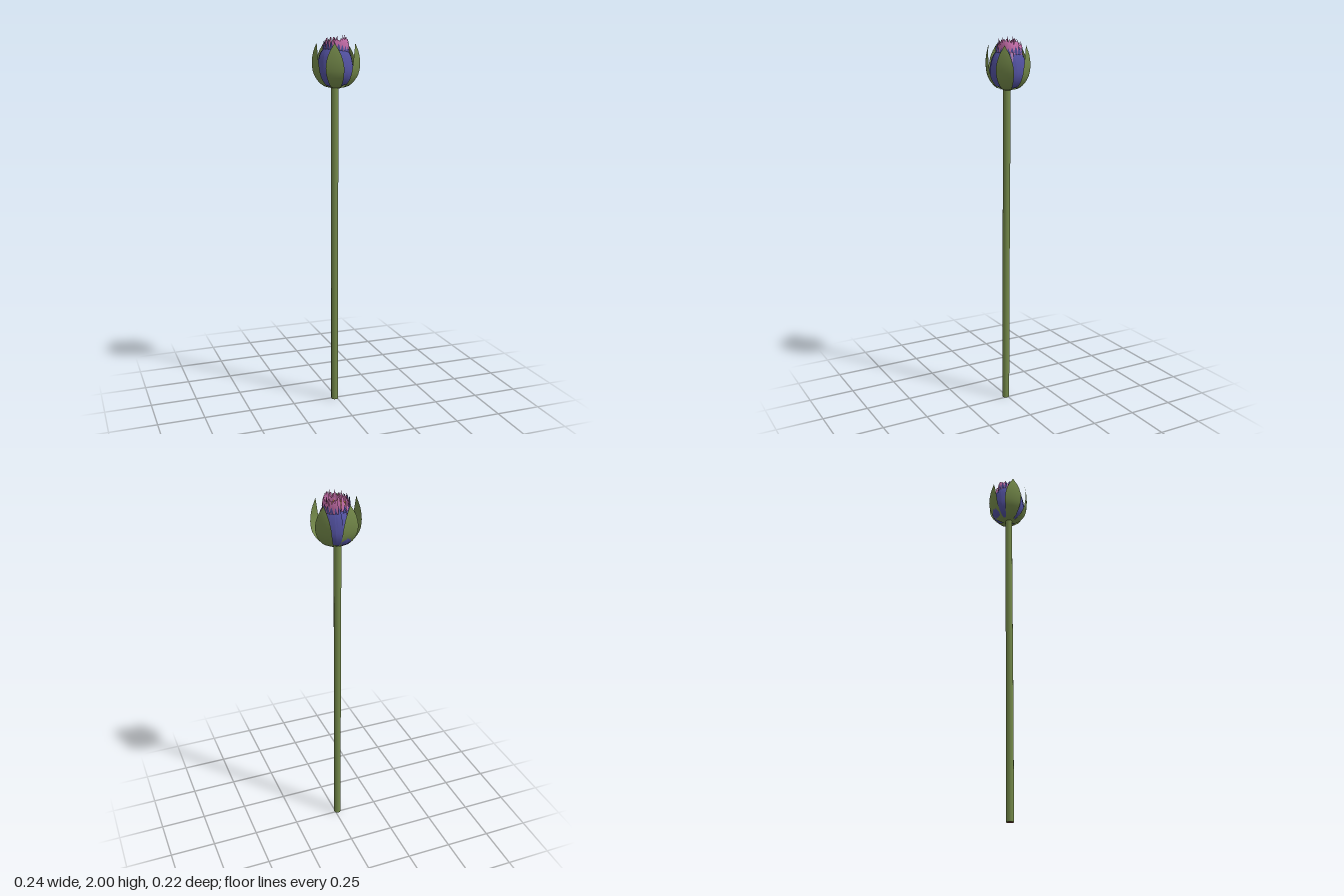
import * as THREE from 'three';

const mat = (name, color) => Object.assign(
  new THREE.MeshStandardMaterial({ color, side: THREE.DoubleSide }), { name });
const rad = THREE.MathUtils.degToRad;
const wobble = (i, k) => Math.sin(i * 12.9898 + k * 4.1);   // repeatable variation

// The petals fold in at the back, giving a heart-shaped opening
function fold(angle) {
  let d = (angle - rad(-97)) % (Math.PI * 2);
  if (d > Math.PI) d -= Math.PI * 2;
  if (d < -Math.PI) d += Math.PI * 2;
  return -0.56 * Math.exp(-((d / 0.28) ** 2));
}

// A petal follows a side profile of [radius, height, half width] points.
// tilt lifts one edge outward, cup bends both edges inward, twist swings the tip.
// foldPower sets how late along the petal the fold takes hold (0 = all along).
function petalGeometry(profile, { angle, tilt = 0, cup = 0, twist = 0, rows = 12, cols = 4, foldPower = Infinity }) {
  const curve = new THREE.CatmullRomCurve3(profile.map(p => new THREE.Vector3(...p)));
  const pos = [], index = [];
  for (let i = 0; i <= rows; i++) {
    const t = i / rows, p = curve.getPoint(t), a = angle + twist * t;
    const w = Math.max(p.z, 0);
    const squeeze = foldPower === Infinity ? 1 : 1 + fold(a) * t ** foldPower;
    for (let j = 0; j <= cols; j++) {
      const u = j / cols * 2 - 1;
      const r = (p.x + tilt * u * w - cup * u * u * w) * squeeze;
      pos.push(r * Math.cos(a) - u * w * Math.sin(a), p.y, r * Math.sin(a) + u * w * Math.cos(a));
      if (i < rows && j < cols) {
        const k = i * (cols + 1) + j, n = k + cols + 1;
        index.push(k, n, k + 1, k + 1, n, n + 1);
      }
    }
  }
  const g = new THREE.BufferGeometry();
  g.setAttribute('position', new THREE.Float32BufferAttribute(pos, 3));
  g.setIndex(index);
  g.computeVertexNormals();
  return g;
}

export function createModel() {
  const model = new THREE.Group();
  model.name = 'flowerBud';
  const green = mat('leafGreen', 0x74894a);
  const blue = mat('petalBlue', 0x504f9c);
  const mauve = mat('streakMauve', 0xa878a8);
  const pink = mat('frillPink', 0xc66eaa);
  const peach = mat('innerPeach', 0xcf8a80);
  const orange = mat('innerOrange', 0xd0884c);
  const brown = mat('cutBrown', 0x7a4338);

  const add = (parent, name, geometry, material) => {
    const m = new THREE.Mesh(geometry, material);
    m.name = name;
    parent.add(m);
    return m;
  };
  const group = (name, x = 0, z = 0) => {
    const g = new THREE.Group();
    g.name = name;
    g.position.set(x, 0, z);
    model.add(g);
    return g;
  };

  // Stem, leaning very slightly, with its cut end
  const path = new THREE.CatmullRomCurve3([
    [-0.013, 0, 0.007], [-0.012, 0.6, 0.006], [-0.011, 1.2, 0.003], [-0.01, 1.75, 0.001],
  ].map(p => new THREE.Vector3(...p)));
  add(model, 'stem', new THREE.TubeGeometry(path, 12, 0.0195, 12), green);
  const cut = add(model, 'stemCut', new THREE.CircleGeometry(0.0195, 12), brown);
  cut.rotation.x = Math.PI / 2;
  cut.position.set(-0.013, 0.001, 0.007);

  // Base of the bud
  const base = add(model, 'budBase', new THREE.LatheGeometry(
    [[0, 1.728], [0.022, 1.73], [0.04, 1.74]].map(p => new THREE.Vector2(...p)), 20), green);
  base.position.x = -0.006;

  // Five sepals around the bud: direction, tilt, spread
  const sepals = group('sepals');
  const sepalProfile = [
    [0.01, 1.728, 0.012], [0.058, 1.742, 0.028], [0.096, 1.79, 0.043],
    [0.109, 1.85, 0.046], [0.109, 1.91, 0.03], [0.1, 1.964, 0],
  ];
  [[112, 0.13, 1], [36, -0.14, 1.02], [-36, 0.05, 1.02], [-112, -0.09, 1], [178, 0.03, 1.1]]
    .forEach(([deg, tilt, spread], i) =>
      add(sepals, 'sepal', petalGeometry(
        sepalProfile.map(([r, y, w]) => [r * spread, y + (y > 1.8 ? 0.006 * wobble(i, 1) : 0), w]),
        { angle: rad(deg), tilt, cup: 0.07, twist: 0.06 * wobble(i, 2), rows: 16, cols: 6 }), green));

  // Overlapping blue outer petals, closing over the shoulder
  const outer = group('outerPetals', -0.006, -0.005);
  const count = 22;
  for (let i = 0; i < count; i++) {
    const s = 1 + 0.03 * wobble(i, 3);
    const profile = [
      [0.025, 1.737, 0.008], [0.07, 1.755, 0.015], [0.092 * s, 1.8, 0.018],
      [0.091 * s, 1.85, 0.018], [0.079, 1.9, 0.017], [0.06, 1.93, 0.012],
    ];
    add(outer, 'outerPetal', petalGeometry(profile,
      { angle: i / count * Math.PI * 2, tilt: 0.08, cup: 0.06, twist: 0.2, foldPower: 4 }), blue);
  }

  // Pale streaks lying on the shoulder of the blue petals
  const streakProfile = [[0.092, 1.875, 0.001], [0.085, 1.9, 0.005], [0.075, 1.92, 0.007], [0.062, 1.938, 0.005]];
  for (const deg of [116, 15, 192])
    add(outer, 'petalStreak', petalGeometry(streakProfile, { angle: rad(deg), cols: 2 }), mauve);

  // Ragged blue tips standing around the frill
  const crown = group('crownPetals', 0, -0.007);
  for (let i = 0; i < 22; i++) {
    const y = 1.957 + 0.016 * wobble(i, 7);
    const profile = [[0.063, 1.88, 0.009], [0.068, 1.92, 0.009], [0.069, y - 0.015, 0.006], [0.068, y, 0.001]];
    add(crown, 'crownPetal', petalGeometry(profile,
      { angle: i / 22 * Math.PI * 2, rows: 6, cols: 2, foldPower: 0 }), blue);
  }

  // Rings of narrow petals inside the crown: [radius, top, count, lean, material]
  const frill = group('frill', 0, -0.007);
  [
    [0.067, 1.971, 26, 0.86, pink],
    [0.061, 1.962, 24, 0.84, pink],
    [0.053, 1.946, 20, 0.84, peach],
  ].forEach(([r, top, n, lean, material], ring) => {
    for (let i = 0; i < n; i++) {
      const y = top + 0.018 * wobble(i, ring);
      const profile = [
        [r * 0.75, 1.84, 0.006], [r * 0.98, 1.89, 0.009],
        [r * 0.98, y - 0.025, 0.009], [r * lean, y, 0.003],
      ];
      add(frill, 'frillPetal', petalGeometry(profile, {
        angle: (i + ring * 0.4) / n * Math.PI * 2, tilt: 0.25 * wobble(i, 5), cup: 0.15,
        rows: 8, cols: 2, foldPower: 0,
      }), material);
    }
  });
  // A few fine tips reaching above the crown
  for (let i = 0; i < 11; i++) {
    const y = 1.988 + 0.012 * wobble(i, 8), r = 0.052 + 0.008 * wobble(i, 9);
    add(frill, 'frillTip', petalGeometry(
      [[r, 1.92, 0.005], [r, 1.955, 0.005], [r * 0.96, y, 0.001]],
      { angle: i / 11 * Math.PI * 2 + 0.1, rows: 5, cols: 2, foldPower: 0 }), pink);
  }

  // Orange inner petals lining the cup down to the centre
  const inner = group('innerPetals', -0.008, -0.002);
  [[0.05, 1.935, 16], [0.034, 1.915, 11]].forEach(([r, top, n], ring) => {
    for (let i = 0; i < n; i++) {
      const profile = [
        [0.002, 1.84, 0.001], [r * 0.5, 1.865 + ring * 0.012, r * 0.13],
        [r * 0.88, 1.9 + ring * 0.006, r * 0.22], [r, top + 0.008 * wobble(i, 6), r * 0.06],
      ];
      add(inner, 'innerPetal', petalGeometry(profile, {
        angle: (i + ring * 0.5) / n * Math.PI * 2, tilt: 0.3, cup: 0.2, rows: 8, foldPower: 0,
      }), orange);
    }
  });

  return model;
}
